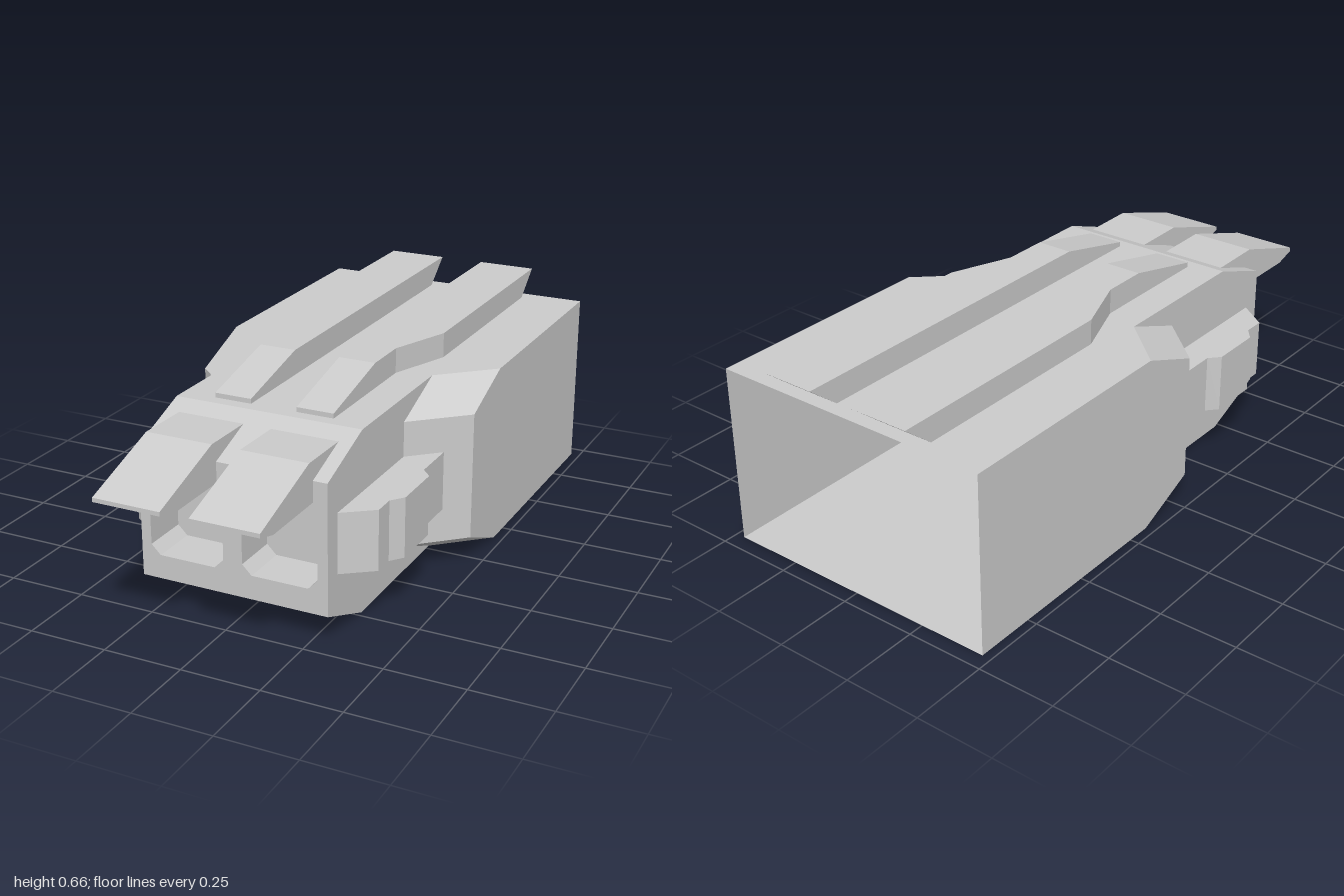
import * as THREE from 'three';

const material = new THREE.MeshStandardMaterial({ color: 0xcccccc, flatShading: true, side: THREE.DoubleSide });

// Skin between successive rings of [x, y, z]; skip(ring, edge) leaves a face out.
function loft(rings, closed, skip = () => false) {
  const pos = [];
  const n = rings[0].length;
  for (let r = 0; r < rings.length - 1; r++) {
    for (let i = 0; i < (closed ? n : n - 1); i++) {
      if (skip(r, i)) continue;
      const j = (i + 1) % n;
      const [a, b, c, d] = [rings[r][i], rings[r][j], rings[r + 1][j], rings[r + 1][i]];
      pos.push(...a, ...b, ...c, ...a, ...c, ...d);
    }
  }
  const g = new THREE.BufferGeometry();
  g.setAttribute('position', new THREE.Float32BufferAttribute(pos, 3));
  g.computeVertexNormals();
  return g;
}

const toShape = (pts) => new THREE.Shape(pts.map(([x, y]) => new THREE.Vector2(x, y)));

function add(parent, name, geometry) {
  const mesh = new THREE.Mesh(geometry, material);
  mesh.name = name;
  parent.add(mesh);
  return mesh;
}

// Plan outline [x, z], counter-clockwise from above, built from its left half
function outline(half) {
  return [...half, ...half.map(([x, z]) => [-x, z]).reverse()];
}

// Octagonal outline of a front opening
function octagon(cx, cy, w, h, c) {
  return [
    [-w, -h + c], [-w + c, -h], [w - c, -h], [w, -h + c],
    [w, h - c], [w - c, h], [-w + c, h], [-w, h - c],
  ].map(([x, y]) => [cx + x, cy + y]);
}

export function createModel() {
  const model = new THREE.Group();
  model.name = 'launcherPod';

  // Hollow hull: four plan outlines stacked in y, open at the back
  const edge = outline([[0.305, 0.48], [0.305, -0.02], [0.47, -0.17], [0.47, -0.95]]);
  const waist = outline([[0.305, 0.7], [0.305, 0.19], [0.47, 0.04], [0.47, -0.95]]);
  const layers = [[edge, 0], [waist, 0.09], [waist, 0.5], [edge, 0.58]]
    .map(([pts, y]) => pts.map(([x, z]) => [x, y, z]));
  const BACK = 3, FRONT = 7;
  // winding is reversed so the skin faces outwards
  const skin = layers.map((ring) => ring.slice().reverse());
  add(model, 'hullWalls', loft(skin.reverse(), true,
    (r, i) => i === (6 - BACK + 8) % 8 || (r === 1 && i === (14 - FRONT) % 8)));

  // Roof and floor plates
  const plate = toShape(edge.map(([x, z]) => [x, -z]));
  add(model, 'roof', new THREE.ShapeGeometry(plate).rotateX(-Math.PI / 2).translate(0, 0.58, 0));
  const floor = toShape(edge);
  add(model, 'floor', new THREE.ShapeGeometry(floor).rotateX(Math.PI / 2));

  // Front panel with two recessed bays
  const panel = toShape([[-0.305, 0.09], [0.305, 0.09], [0.305, 0.5], [-0.305, 0.5]]);
  for (const s of [1, -1]) {
    const side = s > 0 ? 'left' : 'right';
    const bay = octagon(s * 0.152, 0.291, 0.121, 0.125, 0.03);
    panel.holes.push(new THREE.Path(bay.map(([x, y]) => new THREE.Vector2(x, y))));
    add(model, side + 'BayWall', loft([0.7, 0.55].map((z) => bay.map(([x, y]) => [x, y, z])), true));
    add(model, side + 'BayBack', new THREE.ShapeGeometry(toShape(bay)).translate(0, 0, 0.55));

    // Visor over the bay, side profile as [z, y]
    const visor = new THREE.ExtrudeGeometry(
      toShape([[0.54, 0.558], [0.58, 0.435], [0.93, 0.435], [1, 0.455], [1, 0.468], [0.72, 0.56]]),
      { depth: 0.215, bevelEnabled: false });
    visor.rotateY(-Math.PI / 2).translate(s * 0.1525 + 0.1075, 0, 0);
    add(model, side + 'Visor', visor);

    // Roof rail: sections along z as [zTop, zBottom, outer x, top y], open underneath
    const rail = [
      [-1, -0.89, 0.27, 0.66], [-0.19, -0.19, 0.27, 0.66], [0.01, 0.01, 0.195, 0.66],
      [0.16, 0.16, 0.195, 0.66], [0.44, 0.44, 0.195, 0.595],
    ].map(([zt, zb, x, y]) => {
      const ring = [[s * 0.075, 0.57, zb], [s * 0.075, y, zt], [s * x, y, zt], [s * x, 0.57, zb]];
      return s > 0 ? ring.reverse() : ring;
    });
    add(model, side + 'Rail', loft(rail, false));
    const first = rail[0], last = rail[4];
    add(model, side + 'RailBack', loft([[first[1], first[2]], [first[0], first[3]]], false));
    add(model, side + 'RailFront', loft([[last[0], last[3]], [last[1], last[2]]], false));

    // Stepped side pod, plan as [x, z]
    const pod = toShape([
      [0.29, 0.64], [0.305, 0.64], [0.4, 0.57], [0.4, 0.5], [0.432, 0.46],
      [0.432, 0.29], [0.4, 0.255], [0.4, 0.06], [0.29, 0.06],
    ].map(([x, z]) => [s * x, -z]));
    add(model, side + 'Pod', new THREE.ExtrudeGeometry(pod, { depth: 0.19, bevelEnabled: false })
      .rotateX(-Math.PI / 2).translate(0, 0.198, 0));
  }
  add(model, 'frontPanel', new THREE.ShapeGeometry(panel).translate(0, 0, 0.7));

  return model;
}
